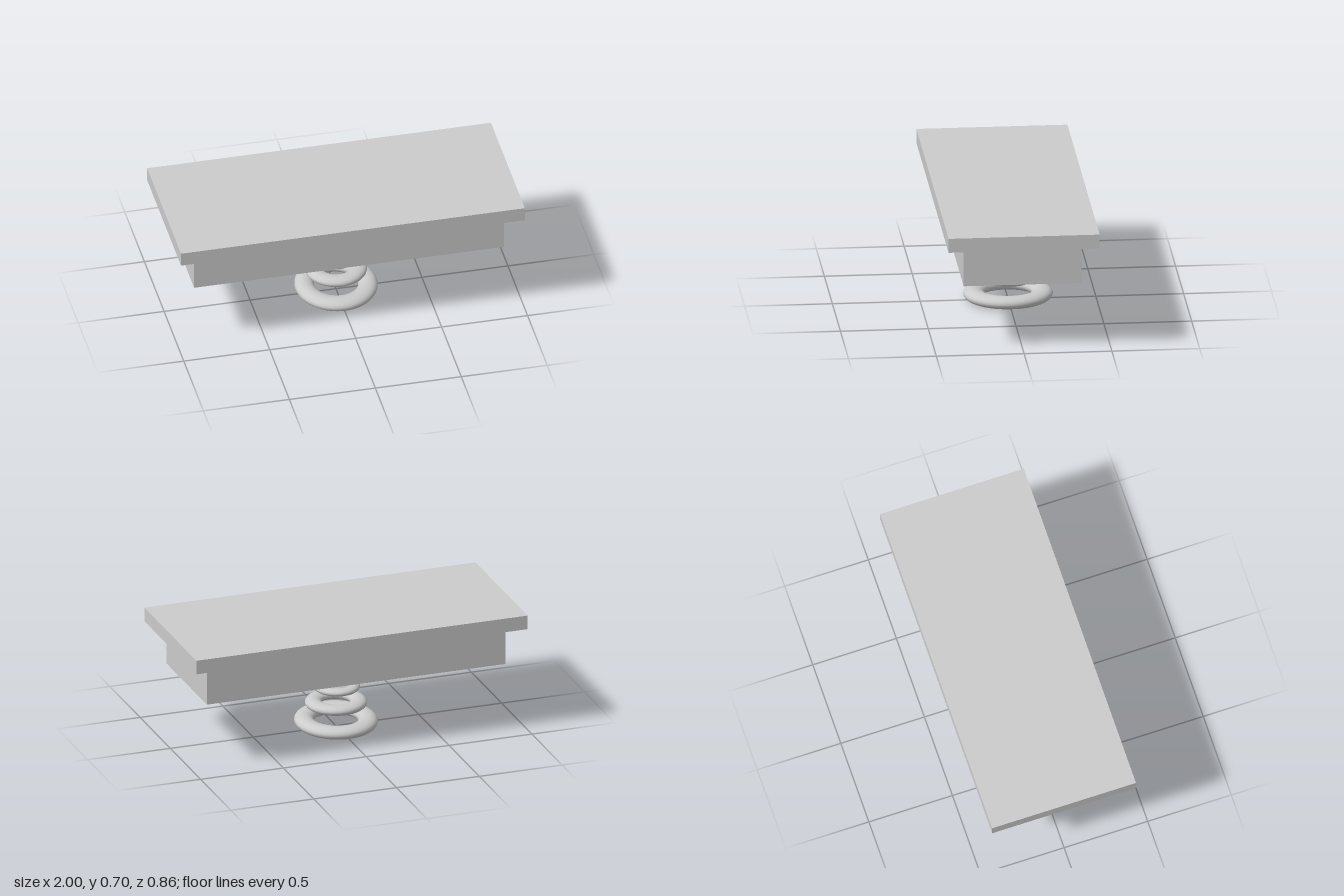
import * as THREE from 'three';

export function createModel() {
  const group = new THREE.Group();
  const grey = new THREE.MeshStandardMaterial({ color: 0xcccccc });

  const add = (name, geometry, y, scale = [1, 1, 1]) => {
    const mesh = new THREE.Mesh(geometry, grey);
    mesh.name = name;
    mesh.position.y = y;
    mesh.scale.set(...scale);
    group.add(mesh);
    return mesh;
  };

  // Top slab overhanging the thicker body below it
  add('topSlab', new THREE.BoxGeometry(2, 0.083, 0.86), 0.6585);
  add('body', new THREE.BoxGeometry(1.804, 0.235, 0.67), 0.4995);

  // Oval dome sunk into the underside of the body
  add('dome', new THREE.SphereGeometry(1, 48, 32), 0.4, [0.253, 0.1, 0.159]);

  // Floating flattened rings, widening downwards: [y, x radius, z radius, tube]
  const rings = [
    [0.251, 0.134, 0.149, 0.035],
    [0.149, 0.177, 0.177, 0.048],
    [0.038, 0.236, 0.255, 0.06],
  ];
  rings.forEach(([y, rx, rz, tube], i) => {
    const geometry = new THREE.TorusGeometry(rz - tube, tube, 24, 64).rotateX(Math.PI / 2);
    add(`ring${i + 1}`, geometry, y, [rx / rz, 0.6, 1]);
  });

  return group;
}
